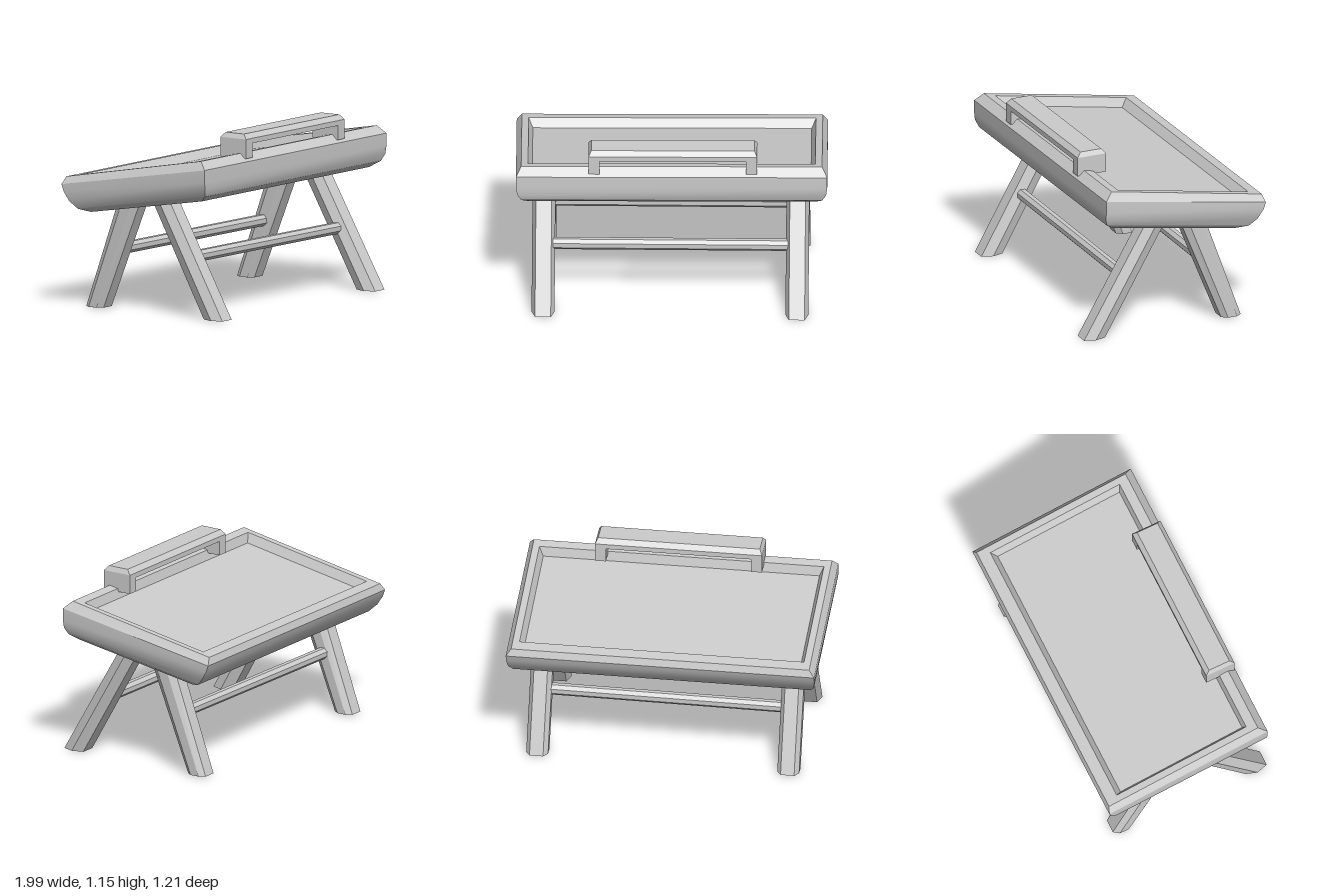
import * as THREE from 'three';
import { toCreasedNormals } from 'three/addons/utils/BufferGeometryUtils.js';

const grey = new THREE.MeshStandardMaterial({ color: 0xcccccc });

// Skin between rings of [x, y, z] points, bottom to top, with flat caps at both ends.
function loft(rings, crease = 0.1) {
  const pos = [];
  const tri = (a, b, c) => pos.push(...a, ...b, ...c);
  const n = rings[0].length;
  for (let k = 0; k + 1 < rings.length; k++) {
    const lo = rings[k], hi = rings[k + 1];
    for (let i = 0; i < n; i++) {
      const j = (i + 1) % n;
      tri(lo[i], lo[j], hi[j]);
      tri(lo[i], hi[j], hi[i]);
    }
  }
  const first = rings[0], last = rings[rings.length - 1];
  for (let i = 1; i + 1 < n; i++) {
    tri(first[0], first[i + 1], first[i]);
    tri(last[0], last[i], last[i + 1]);
  }
  const geo = new THREE.BufferGeometry();
  geo.setAttribute('position', new THREE.Float32BufferAttribute(pos, 3));
  return toCreasedNormals(geo, crease);
}

// Four-cornered ring whose front and back edges have their own depth and height.
const rectRing = ([hx, zf, yf, zb, yb]) =>
  [[hx, yf, zf], [hx, yb, zb], [-hx, yb, zb], [-hx, yf, zf]];

function add(parent, name, geometry) {
  const mesh = new THREE.Mesh(geometry, grey);
  mesh.name = name;
  parent.add(mesh);
  return mesh;
}

// Horizontal leg sections, on a unit scale
const HEX = [[1, 0], [0.68, -1], [-0.68, -1], [-1, 0], [-0.68, 1], [0.68, 1]];
const OCT = [[1, 0.45], [1, -0.45], [0.62, -1], [-0.62, -1],
  [-1, -0.45], [-1, 0.45], [-0.62, 1], [0.62, 1]];

// Slanted leg cut level at the foot; ends are [y, z, half depth]
function leg(section, x, hx, foot, top) {
  return loft([foot, top].map(([y, z, hz]) =>
    section.map(([u, v]) => [x + u * hx, y, z + v * hz])));
}

export function createModel() {
  const model = new THREE.Group();
  model.name = 'slopedTrayTable';

  // Tray and handle share a slight twist
  const upper = new THREE.Group();
  upper.name = 'trayAssembly';
  upper.rotation.y = 0.012;
  model.add(upper);

  // Sloping tray: rounded underside, bevelled rim, sunken floor
  // half width, front z, front y, back z, back y
  add(upper, 'tray', loft([
    [0.91, 0.445, 0.765, -0.42, 0.622],
    [0.955, 0.505, 0.805, -0.49, 0.642],
    [0.98, 0.523, 0.85, -0.54, 0.69],
    [0.988, 0.525, 0.9, -0.578, 0.75],
    [0.988, 0.525, 0.98, -0.594, 0.795],
    [0.955, 0.472, 1.03, -0.58, 0.842],
    [0.912, 0.41, 1.018, -0.505, 0.855],
    [0.885, 0.395, 0.957, -0.465, 0.803],
  ].map(rectRing), 0.42));

  // Handle: chamfered bar on two posts
  const handle = new THREE.Group();
  handle.name = 'handle';
  handle.position.set(0.008, 0, 0.417);
  upper.add(handle);
  const hz = 0.1;
  add(handle, 'handleBar', loft([
    [0.535, hz, 1.09, -hz, 1.09],
    [0.535, hz, 1.122, -hz, 1.122],
    [0.518, 0.072, 1.153, -0.072, 1.153],
  ].map(rectRing)));
  for (const s of [-1, 1]) {
    const post = add(handle, s > 0 ? 'leftHandlePost' : 'rightHandlePost',
      new THREE.BoxGeometry(0.07, 0.096, 2 * hz));
    post.position.set(s * 0.5, 1.046, 0);
  }

  // Splayed legs
  for (const s of [-1, 1]) {
    const side = s > 0 ? 'Left' : 'Right';
    const x = s * 0.806 - 0.004;
    add(model, 'front' + side + 'Leg',
      leg(HEX, x, 0.073, [0, 0.522 + s * 0.008, 0.073], [0.74, 0.098, 0.07]));
    add(model, 'back' + side + 'Leg',
      leg(OCT, x, 0.07, [0.005, -0.423, 0.068], [0.72, -0.147, 0.085]));
  }

  // Stretchers between each pair of legs
  for (const [name, z] of [['frontStretcher', 0.305], ['backStretcher', -0.276]]) {
    const bar = add(model, name,
      toCreasedNormals(new THREE.CylinderGeometry(0.039, 0.039, 1.5, 8), 0.1));
    bar.rotation.set(0, 0, Math.PI / 2);
    bar.rotateY(Math.PI / 8);
    bar.position.set(0, 0.383, z);
  }
  return model;
}
